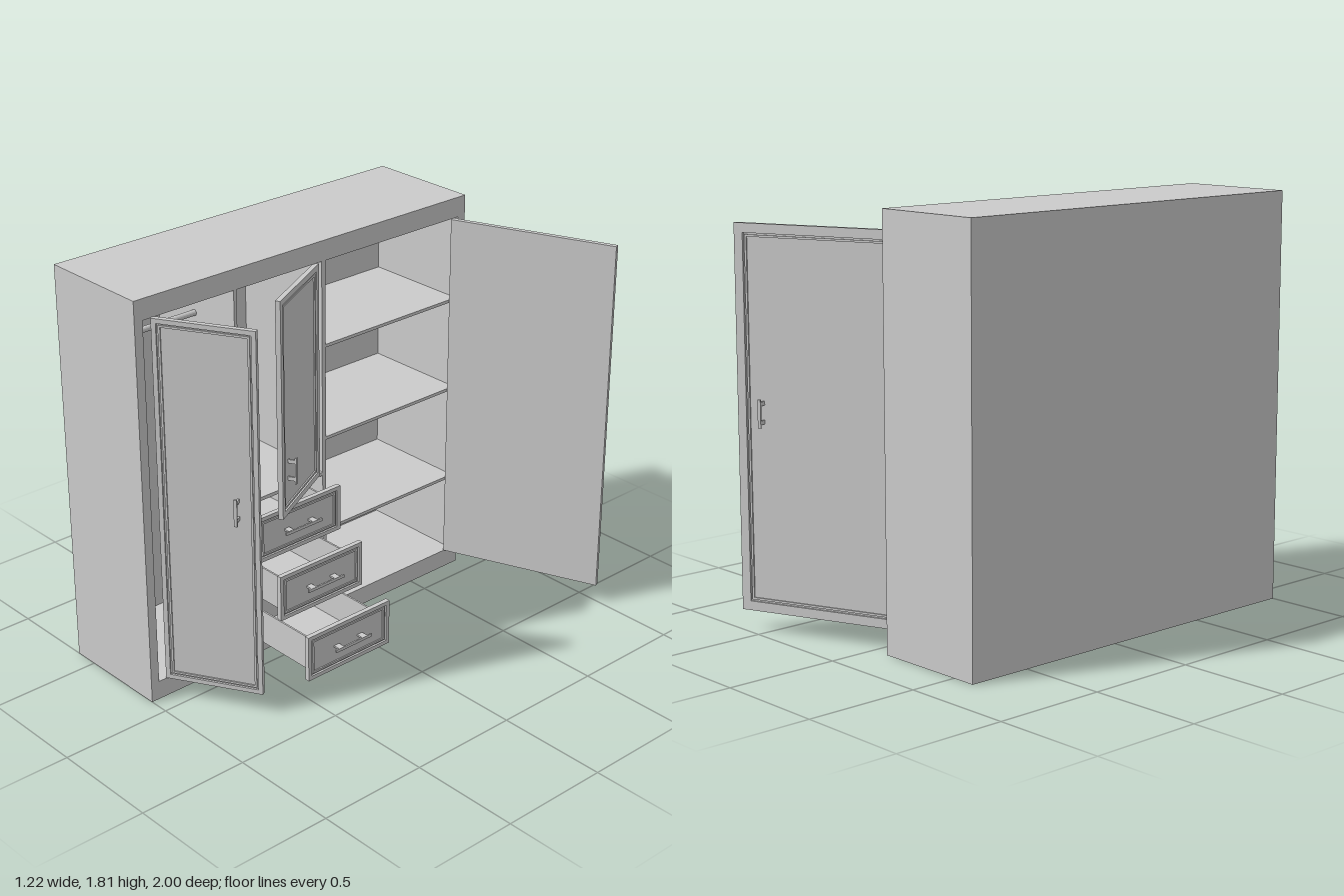
import * as THREE from 'three';

const MAT = new THREE.MeshStandardMaterial({ color: 0xcccccc, flatShading: true });

// box given by its min and max corners
function box(parent, name, x0, x1, y0, y1, z0, z1) {
  const m = new THREE.Mesh(new THREE.BoxGeometry(x1 - x0, y1 - y0, z1 - z0), MAT);
  m.position.set((x0 + x1) / 2, (y0 + y1) / 2, (z0 + z1) / 2);
  m.name = name;
  parent.add(m);
  return m;
}

// rectangular ring, w x h outside, with its border, from z0 to z1
function ring(parent, name, w, h, border, z0, z1) {
  const rect = (P, a, b) => new P().moveTo(-a, -b).lineTo(a, -b).lineTo(a, b).lineTo(-a, b).closePath();
  const s = rect(THREE.Shape, w / 2, h / 2);
  s.holes.push(rect(THREE.Path, w / 2 - border, h / 2 - border));
  const m = new THREE.Mesh(new THREE.ExtrudeGeometry(s, { depth: z1 - z0, bevelEnabled: false }), MAT);
  m.position.z = z0;
  m.name = name;
  parent.add(m);
}

// framed panel centred on the origin, outer face toward +z
function framedPanel(name, w, h, border) {
  const g = new THREE.Group();
  g.name = name;
  box(g, 'panel', -w / 2, w / 2, -h / 2, h / 2, -0.011, 0.002);
  ring(g, 'frame', w, h, border, 0.002, 0.011);
  ring(g, 'innerMoulding', w - 2 * border - 0.014, h - 2 * border - 0.014, 0.009, 0.002, 0.008);
  return g;
}

// bar pull lying along x, standing on z = 0
function pull(length) {
  const g = new THREE.Group();
  g.name = 'handle';
  for (const s of [-1, 1]) {
    const c = s * length * 0.33, r = length * 0.07;
    box(g, 'handlePost', c - r, c + r, -0.004, 0.004, 0, 0.036);
  }
  box(g, 'handleBar', -length / 2, length / 2, -0.007, 0.007, 0.032, 0.039);
  return g;
}

export function createModel() {
  const model = new THREE.Group();
  model.name = 'wardrobe';

  // carcass, open toward +x
  const body = new THREE.Group();
  body.name = 'carcass';
  model.add(body);
  const B = -0.61, F = -0.09;
  box(body, 'backPanel', B, B + 0.02, 0, 1.81, -0.79, 1);
  box(body, 'topBoard', B + 0.02, F, 1.72, 1.81, -0.79, 1);
  box(body, 'plinth', B + 0.02, F, 0, 0.085, -0.79, 1);
  box(body, 'sideWall', B + 0.02, F, 0.085, 1.72, 0.96, 1);
  box(body, 'sideWall', B + 0.02, F, 0.085, 1.72, -0.79, -0.75);

  // dividers, shelves and hanging rail
  const D = F - 0.004;
  box(body, 'divider', B + 0.02, D, 0.085, 1.72, 0.49, 0.505);
  box(body, 'divider', B + 0.02, D, 0.085, 1.72, 0.017, 0.037);
  box(body, 'drawerTop', B + 0.02, D, 0.732, 0.748, 0.037, 0.49);
  for (const y of [0.46, 0.905, 1.335]) {
    box(body, 'shelf', B + 0.02, D, y - 0.007, y + 0.007, -0.75, 0.017);
  }
  const rail = new THREE.Mesh(new THREE.CylinderGeometry(0.013, 0.013, 0.455, 16), MAT);
  rail.rotation.x = Math.PI / 2;
  rail.position.set(-0.35, 1.545, 0.7325);
  rail.name = 'hangingRail';
  body.add(rail);

  // open doors: hinge z, width, bottom, top, turn in degrees, side of the hinge
  const doors = [
    ['narrowDoor', 0.917, 0.43, 0.092, 1.722, 30, 1, 0.02, 0.34],
    ['middleDoor', 0.07, 0.43, 0.748, 1.72, 117.8, -1, 0.025, 0.345],
    ['wideDoor', -0.713, 0.75, 0.09, 1.72, 201.9, -1, 0.04, 0.63],
  ];
  for (const [name, z, w, y0, y1, turn, side, border, grip] of doors) {
    const hinge = new THREE.Group();
    hinge.name = name;
    hinge.position.set(F, 0, z);
    hinge.rotation.y = THREE.MathUtils.degToRad(turn);
    const leaf = framedPanel('doorLeaf', w, y1 - y0, border);
    leaf.position.set(side * w / 2, (y0 + y1) / 2, 0);
    const handle = pull(0.12);
    handle.rotation.z = Math.PI / 2;
    handle.position.set(side * grip, 0.94, 0.002);
    hinge.add(leaf, handle);
    model.add(hinge);
  }

  // drawers pulled out stepwise: front x, centre y
  for (const [x, y] of [[0.32, 0.19], [0.147, 0.405], [0.008, 0.622]]) {
    const drawer = new THREE.Group();
    drawer.name = 'drawer';
    drawer.position.set(x, y, 0.267);
    drawer.rotation.y = Math.PI / 2;
    drawer.add(framedPanel('drawerFront', 0.46, 0.21, 0.018));
    const handle = pull(0.2);
    handle.position.z = 0.002;
    drawer.add(handle);
    const y0 = -0.095, y1 = 0.06, back = -0.47, w = 0.18;
    box(drawer, 'drawerBottom', -w, w, y0, y0 + 0.01, back, -0.011);
    box(drawer, 'drawerBack', -w, w, y0 + 0.01, y1, back, back + 0.01);
    for (const s of [-1, 1]) {
      const c = s * (w - 0.004);
      box(drawer, 'drawerSide', c - 0.004, c + 0.004, y0 + 0.01, y1, back + 0.01, -0.011);
    }
    model.add(drawer);
  }
  return model;
}
